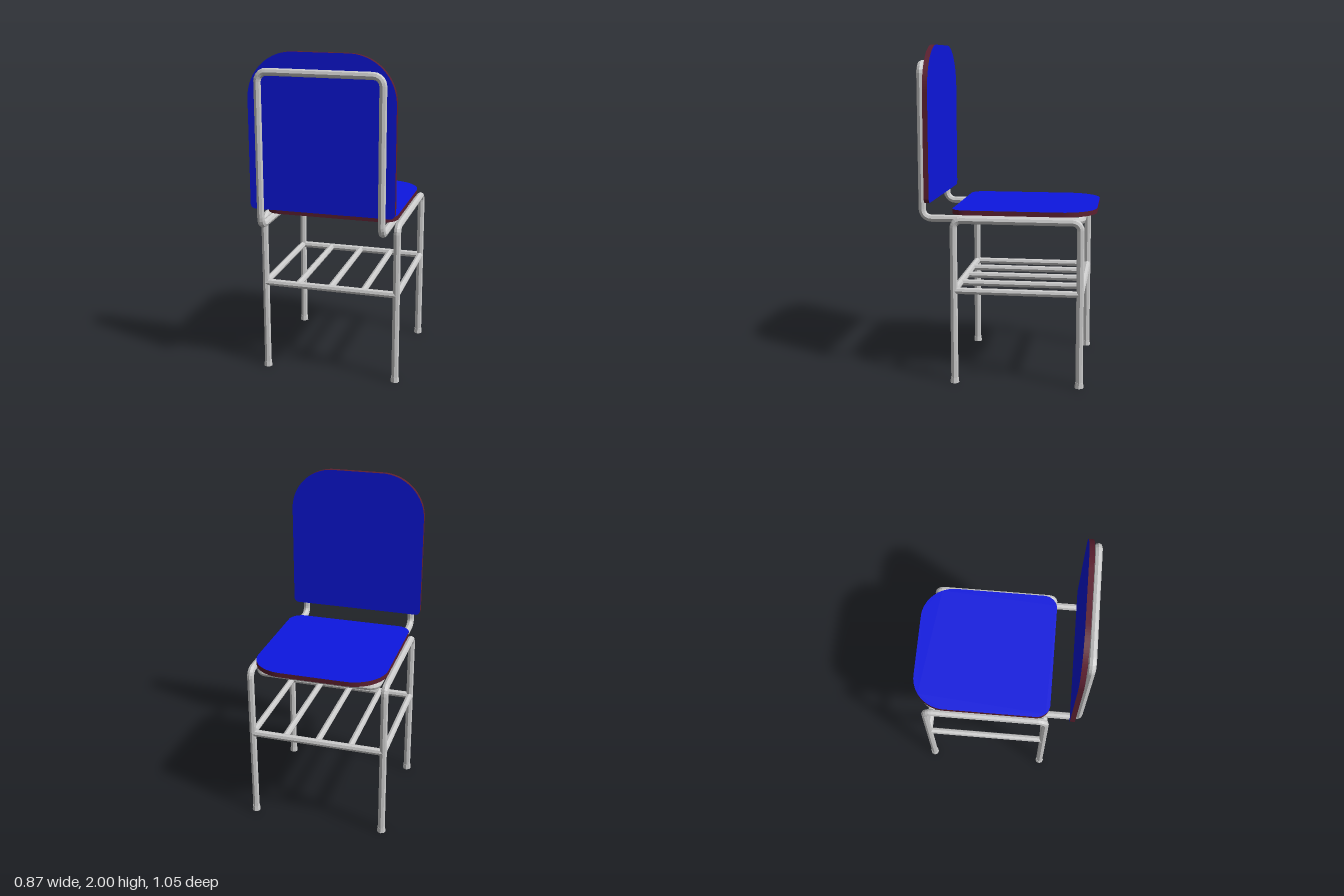
import * as THREE from 'three';

const R = 0.022; // tube radius
const metal = new THREE.MeshStandardMaterial({ color: 0xcccccc, flatShading: true, side: THREE.DoubleSide });
const blue = new THREE.MeshStandardMaterial({ color: 0x0d17e0 });
const maroon = new THREE.MeshStandardMaterial({ color: 0x5c2030 });
const olive = new THREE.MeshStandardMaterial({ color: 0x6b5a24 });

// Path that visits every given point exactly, one tube ring per point
class PointPath extends THREE.Curve {
  constructor(pts, closed) {
    super();
    this.pts = pts;
    this.closed = closed;
    this.count = closed ? pts.length : pts.length - 1;
  }
  at(i) {
    const n = this.pts.length;
    return this.closed ? this.pts[(i + n) % n] : this.pts[Math.min(Math.max(i, 0), n - 1)];
  }
  getPointAt(u) {
    return this.at(Math.round(u * this.count)).clone();
  }
  getTangentAt(u) {
    const i = Math.round(u * this.count), p = this.at(i);
    const before = p.clone().sub(this.at(i - 1)).normalize();
    const after = this.at(i + 1).clone().sub(p).normalize();
    return before.add(after).normalize();
  }
}

// Bent tube through corner points, each corner rounded by radius r
function bentTube(name, corners, r, closed) {
  const c = corners.map(p => new THREE.Vector3(...p));
  const n = c.length, pts = [];
  c.forEach((p, i) => {
    if (!closed && (i === 0 || i === n - 1)) return pts.push(p);
    const toward = q => q.clone().sub(p).setLength(r).add(p);
    const a = toward(c[(i + n - 1) % n]), b = toward(c[(i + 1) % n]);
    // circular arc about the corner's inner centre
    const centre = a.clone().add(b).sub(p);
    for (let k = 0; k <= 5; k++) {
      const t = (k / 5) * Math.PI / 2;
      pts.push(centre.clone()
        .addScaledVector(a.clone().sub(centre), Math.cos(t))
        .addScaledVector(b.clone().sub(centre), Math.sin(t)));
    }
  });
  const path = new PointPath(pts, closed);
  const mesh = new THREE.Mesh(new THREE.TubeGeometry(path, path.count, R, 8, closed), metal);
  mesh.name = name;
  return mesh;
}

// Straight rail between two points
function rail(name, a, b, radius = R) {
  const path = new THREE.LineCurve3(new THREE.Vector3(...a), new THREE.Vector3(...b));
  const mesh = new THREE.Mesh(new THREE.TubeGeometry(path, 1, radius, 8), metal);
  mesh.name = name;
  return mesh;
}

// Flat board with large top corners and small bottom corners;
// materials are [under face, upper face, edge]
function board(name, w, y0, y1, topR, lowR, depth, materials) {
  const s = new THREE.Shape();
  s.moveTo(-w + lowR, y0);
  s.lineTo(w - lowR, y0);
  s.absarc(w - lowR, y0 + lowR, lowR, -Math.PI / 2, 0);
  s.absarc(w - topR, y1 - topR, topR, 0, Math.PI / 2);
  s.absarc(-w + topR, y1 - topR, topR, Math.PI / 2, Math.PI);
  s.absarc(-w + lowR, y0 + lowR, lowR, Math.PI, Math.PI * 1.5);
  const g = new THREE.ExtrudeGeometry(s, { depth, bevelEnabled: false, curveSegments: 14 });
  // split the two lids so each can have its own colour
  const [lids, edge] = g.groups.map(q => ({ ...q }));
  g.clearGroups();
  g.addGroup(lids.start, lids.count / 2, 0);
  g.addGroup(lids.start + lids.count / 2, lids.count / 2, 1);
  g.addGroup(edge.start, edge.count, 2);
  const mesh = new THREE.Mesh(g, materials);
  mesh.name = name;
  return mesh;
}

export function createModel() {
  const chair = new THREE.Group();
  chair.name = 'chair';
  const legX = 0.41, zFront = -0.44, zRear = 0.305, topY = 0.988, shelfY = 0.565;

  // Side frames: two legs joined by a top bar, with feet
  for (const side of [-1, 1]) {
    const x = side * legX;
    chair.add(bentTube('sideFrame',
      [[x, 0.01, zRear], [x, topY, zRear], [x, topY, zFront], [x, 0.01, zFront]], 0.045, false));
    for (const z of [zFront, zRear]) {
      const foot = new THREE.Mesh(new THREE.CylinderGeometry(0.024, 0.027, 0.032, 8), metal);
      foot.name = 'foot';
      foot.position.set(x, 0.016, z);
      chair.add(foot);
    }
  }

  // Single closed loop carrying the seat and the backrest
  const lx = 0.36, lz = 0.5, ly = 1.888;
  chair.add(bentTube('seatAndBackFrame', [
    [-lx, topY, zFront], [lx, topY, zFront], [lx, topY, lz],
    [lx, ly, lz], [-lx, ly, lz], [-lx, topY, lz],
  ], 0.055, true));

  // Shelf: cross rails front and rear, five bars running between them
  for (const z of [zFront, zRear]) {
    chair.add(rail('shelfCrossRail', [-legX, shelfY, z], [legX, shelfY, z]));
  }
  for (let i = -2; i <= 2; i++) {
    const x = i * legX / 2;
    chair.add(rail('shelfBar', [x, shelfY, zFront], [x, shelfY, zRear], 0.02));
  }

  // Seat board
  const seat = board('seat', 0.4, -0.325, 0.525, 0.205, 0.085, 0.028, [olive, blue, maroon]);
  seat.rotation.x = -Math.PI / 2;
  seat.position.y = 1.016;
  chair.add(seat);

  // Backrest board
  const back = board('backrest', 0.43, 1.085, 2, 0.27, 0.03, 0.03, [blue, blue, maroon]);
  back.position.z = 0.444;
  chair.add(back);

  return chair;
}
